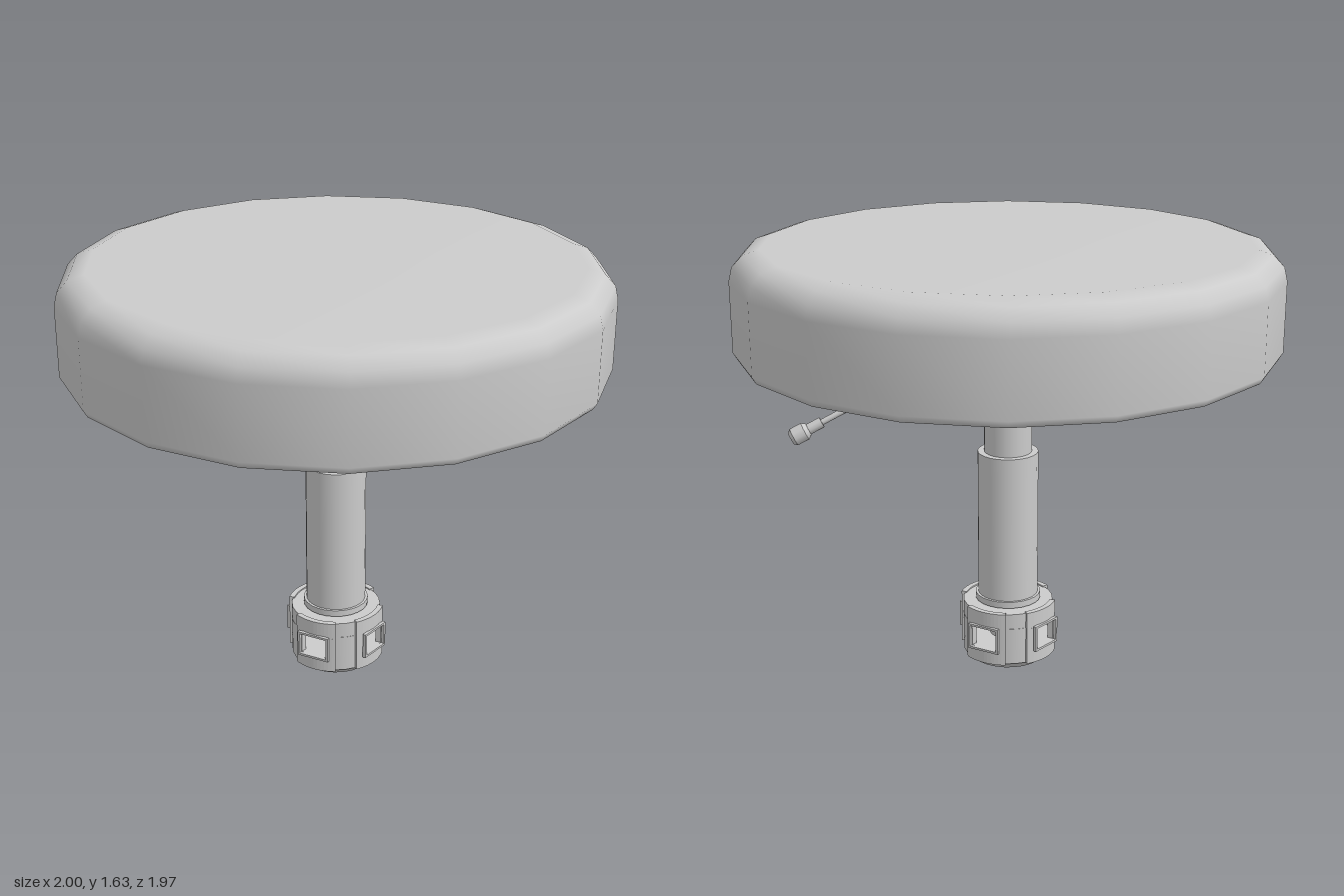
import * as THREE from 'three';

const grey = new THREE.MeshStandardMaterial({ color: 0xcccccc });
const rad = THREE.MathUtils.degToRad;

function part(parent, name, geometry) {
  const mesh = new THREE.Mesh(geometry, grey);
  mesh.name = name;
  parent.add(mesh);
  return mesh;
}

// Upright cylinder or cone between two heights
function disc(parent, name, rBottom, rTop, y0, y1, sides = 24) {
  const mesh = part(parent, name, new THREE.CylinderGeometry(rTop, rBottom, y1 - y0, sides));
  mesh.position.y = (y0 + y1) / 2;
  return mesh;
}

// Curved wall piece; angles in degrees measured from +z towards +x
function arcWall(parent, name, rIn, rOut, a0, a1, y0, y1) {
  const shape = new THREE.Shape();
  shape.absarc(0, 0, rOut, rad(a0 - 90), rad(a1 - 90), false);
  shape.absarc(0, 0, rIn, rad(a1 - 90), rad(a0 - 90), true);
  shape.closePath();
  const geo = new THREE.ExtrudeGeometry(shape, { depth: y1 - y0, bevelEnabled: false, curveSegments: 6 });
  geo.rotateX(-Math.PI / 2);
  geo.translate(0, y0, 0);
  return part(parent, name, geo);
}

// Flat rectangular frame facing +z
function frameGeometry(w, h, holeW, holeH, depth) {
  const rect = (target, a, b) => {
    target.moveTo(-a, -b);
    target.lineTo(a, -b);
    target.lineTo(a, b);
    target.lineTo(-a, b);
    target.closePath();
    return target;
  };
  const shape = rect(new THREE.Shape(), w, h);
  shape.holes.push(rect(new THREE.Path(), holeW, holeH));
  return new THREE.ExtrudeGeometry(shape, { depth, bevelEnabled: false });
}

// Cylinder running from one point to another
function rod(parent, name, from, to, r0, r1, sides = 10) {
  const dir = to.clone().sub(from);
  const mesh = part(parent, name, new THREE.CylinderGeometry(r1, r0, dir.length(), sides));
  mesh.position.copy(from).add(to).multiplyScalar(0.5);
  mesh.quaternion.setFromUnitVectors(new THREE.Vector3(0, 1, 0), dir.normalize());
}

export function createModel() {
  const model = new THREE.Group();
  model.name = 'stool';

  // Padded seat with a rounded upper edge
  const profile = [[0, 1.23], [0.95, 1.23], [0.985, 1.235], [1, 1.26], [1, 1.52],
    [0.988, 1.57], [0.95, 1.61], [0.89, 1.63], [0, 1.63]].map(p => new THREE.Vector2(...p));
  const seat = part(model, 'seat', new THREE.LatheGeometry(profile, 18));
  seat.rotation.y = rad(10);

  // Mounting plates and telescopic column
  disc(model, 'upperPlate', 0.365, 0.365, 1.2, 1.235);
  disc(model, 'lowerPlate', 0.275, 0.275, 1.17, 1.2);
  disc(model, 'columnCollar', 0.135, 0.135, 1.15, 1.17);
  disc(model, 'upperSleeve', 0.115, 0.115, 0.975, 1.15);
  disc(model, 'piston', 0.09, 0.09, 0.83, 0.975);
  disc(model, 'column', 0.115, 0.115, 0.24, 0.835);
  disc(model, 'columnRing', 0.125, 0.125, 0.24, 0.265);

  // Hub: solid bands above and below the windows, with a slim core
  const hub = new THREE.Group();
  hub.name = 'hub';
  model.add(hub);
  disc(hub, 'hubFoot', 0.142, 0.17, 0, 0.03);
  disc(hub, 'hubLowerBand', 0.173, 0.173, 0.03, 0.09);
  disc(hub, 'hubUpperBand', 0.173, 0.173, 0.175, 0.235);
  disc(hub, 'hubCore', 0.07, 0.07, 0.09, 0.175);

  // Recessed pillars between the windows
  for (const [angle, half] of [[0, 14], [90, 24], [180, 14], [270, 24]]) {
    arcWall(hub, 'hubPillar', 0.163, 0.173, angle - half, angle + half, 0.09, 0.175);
  }

  // Four raised segments, each with a framed window
  for (const angle of [40, 140, 220, 320]) {
    arcWall(hub, 'segmentBottom', 0.165, 0.186, angle - 27, angle + 27, 0.03, 0.09);
    arcWall(hub, 'segmentTop', 0.165, 0.186, angle - 27, angle + 27, 0.175, 0.24);
    for (const [a, b] of [[-27, -17.5], [17.5, 27]]) {
      arcWall(hub, 'segmentSide', 0.165, 0.186, angle + a, angle + b, 0.09, 0.175);
    }
    const frame = part(hub, 'windowFrame', frameGeometry(0.065, 0.051, 0.056, 0.0425, 0.013));
    frame.position.set(0.181 * Math.sin(rad(angle)), 0.1325, 0.181 * Math.cos(rad(angle)));
    frame.rotation.y = rad(angle);
  }

  // Height lever with a chamfered grip
  const lever = new THREE.Group();
  lever.name = 'lever';
  model.add(lever);
  const start = new THREE.Vector3(0.27, 1.215, -0.068);
  const end = new THREE.Vector3(0.81, 0.953, -0.08);
  const at = t => start.clone().lerp(end, t);
  rod(lever, 'leverRod', at(0), at(0.8), 0.011, 0.011);
  rod(lever, 'leverCollar', at(0.79), at(0.89), 0.02, 0.02);
  rod(lever, 'gripNeck', at(0.88), at(0.905), 0.022, 0.033);
  rod(lever, 'grip', at(0.905), at(0.98), 0.033, 0.033);
  rod(lever, 'gripEnd', at(0.98), at(1), 0.033, 0.024);

  return model;
}
